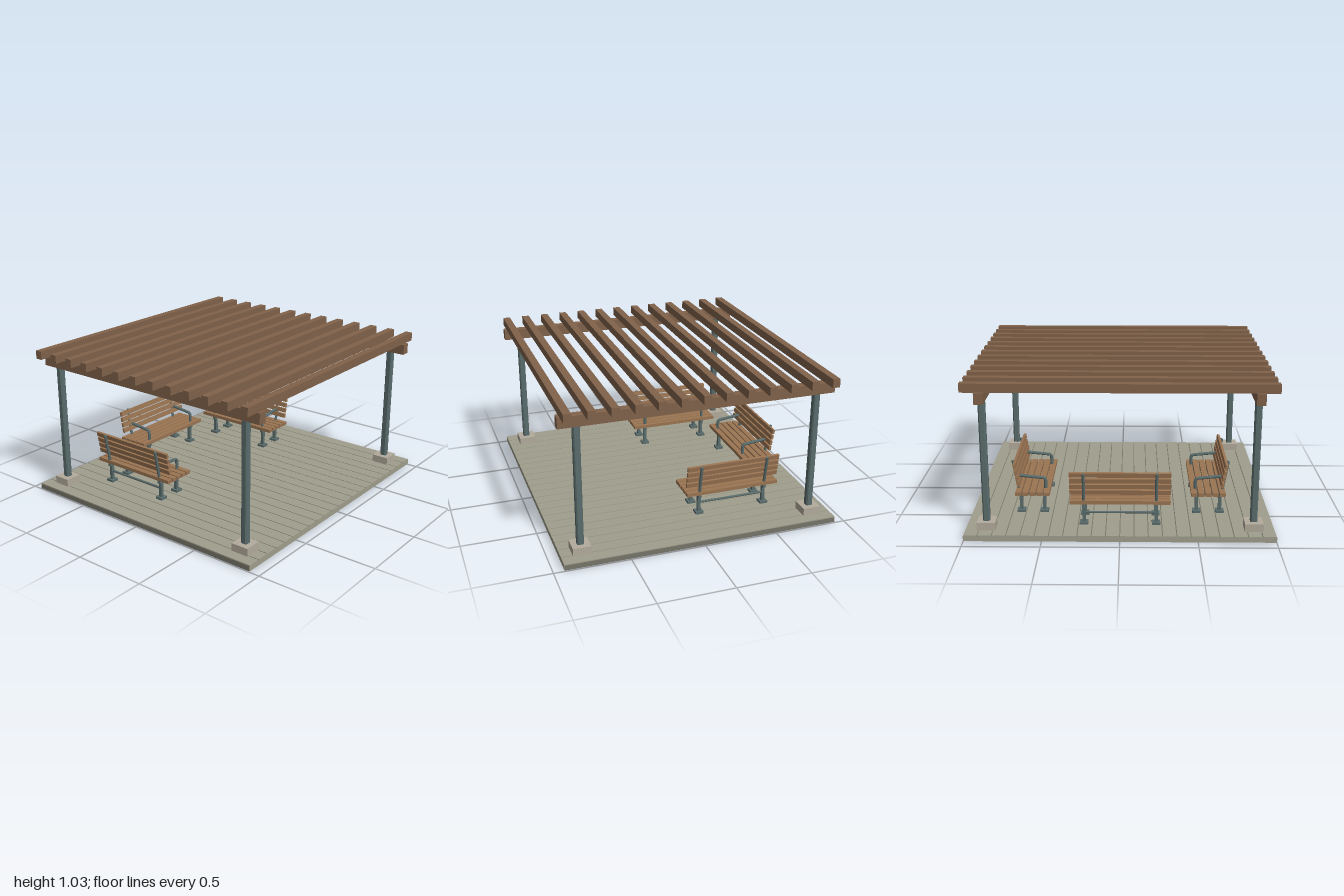
import * as THREE from 'three';

const mat = (color) => new THREE.MeshStandardMaterial({ color });
const timber = mat(0x80624a), slatWood = mat(0x9a7452), steel = mat(0x5a6c6c);
const concrete = mat(0xb2ab9c), boards = mat(0xa09e8c), deckCore = mat(0x77766a);

function add(parent, name, geometry, material, x = 0, y = 0, z = 0) {
  const mesh = new THREE.Mesh(geometry, material);
  mesh.name = name;
  mesh.position.set(x, y, z);
  parent.add(mesh);
  return mesh;
}
const box = (parent, name, material, w, h, d, x, y, z) =>
  add(parent, name, new THREE.BoxGeometry(w, h, d), material, x, y, z);

// Square steel post with chamfered corners, standing on y = 0
function postGeometry(width, height, chamfer) {
  const a = width / 2, b = a - chamfer;
  const shape = new THREE.Shape([[a, -b], [a, b], [b, a], [-b, a], [-a, b], [-a, -b], [-b, -a], [b, -a]]
    .map(([x, y]) => new THREE.Vector2(x, y)));
  return new THREE.ExtrudeGeometry(shape, { depth: height, bevelEnabled: false }).rotateX(-Math.PI / 2);
}

// Bench facing +z, centred on its seat
function createBench() {
  const bench = new THREE.Group();
  bench.name = 'bench';
  const length = 0.655;

  // Seat slats
  for (let i = 0; i < 5; i++)
    box(bench, 'seatSlat', slatWood, length, 0.024, 0.039, 0, 0.21, 0.097 - i * 0.047);

  // Leaning backrest slats
  const lean = Math.atan2(0.04, 0.23);
  const backZ = (y) => -0.09 - (y - 0.185) * 0.04 / 0.23;
  for (const y of [0.277, 0.319, 0.36, 0.402]) {
    const slat = box(bench, 'backSlat', slatWood, length, 0.031, 0.018, 0, y, backZ(y) + 0.017);
    slat.rotation.x = -lean;
  }

  // Two steel end frames
  for (const x of [-0.235, 0.235]) {
    const frame = new THREE.Group();
    frame.name = 'endFrame';
    frame.position.x = x;
    bench.add(frame);
    box(frame, 'seatRail', steel, 0.022, 0.024, 0.205, 0, 0.186, -0.003);
    for (const z of [0.075, -0.081]) {
      box(frame, 'leg', steel, 0.022, 0.12, 0.022, 0, 0.12, z);
      box(frame, 'foot', steel, 0.055, 0.016, 0.055, 0, 0.063, z);
    }
    const upright = add(frame, 'backUpright', new THREE.CylinderGeometry(0.01, 0.01, 0.236, 10), steel, 0, 0.299, backZ(0.299));
    upright.rotation.x = -lean;

    // Armrest: sloping bar with a rounded bend down to the seat
    const p = (y, z) => new THREE.Vector3(0, y, z);
    const path = new THREE.CurvePath();
    path.add(new THREE.LineCurve3(p(0.312, -0.11), p(0.294, 0.065)));
    path.add(new THREE.QuadraticBezierCurve3(p(0.294, 0.065), p(0.292, 0.085), p(0.272, 0.085)));
    path.add(new THREE.LineCurve3(p(0.272, 0.085), p(0.19, 0.085)));
    add(frame, 'armrest', new THREE.TubeGeometry(path, 40, 0.011, 8), steel);
  }

  // Stretcher between the rear legs
  add(bench, 'stretcher', new THREE.CylinderGeometry(0.008, 0.008, 0.47, 8).rotateZ(Math.PI / 2), steel, 0, 0.133, -0.081);
  return bench;
}

export function createModel() {
  const model = new THREE.Group();
  model.name = 'pergola';

  // Deck: solid core with narrow grooves between the boards
  box(model, 'deckCore', deckCore, 1.998, 0.034, 1.858, 0, 0.022, 0);
  const count = 22, pitch = 2 / count;
  for (let i = 0; i < count; i++)
    box(model, 'deckBoard', boards, pitch - 0.006, 0.038, 1.86, -1 + (i + 0.5) * pitch, 0.026, 0);
  for (const s of [-1, 1])
    box(model, 'deckEdge', boards, 2, 0.034, 0.004, 0, 0.022, s * 0.928);

  // Corner posts on concrete footings, with a long beam per side
  const post = postGeometry(0.045, 0.82, 0.008);
  for (const sx of [-1, 1]) {
    for (const sz of [-1, 1]) {
      box(model, 'footing', concrete, 0.12, 0.097, 0.12, sx * 0.863, 0.0485, sz * 0.795);
      add(model, 'post', post, steel, sx * 0.863, 0.09, sz * 0.795);
    }
    box(model, 'beam', timber, 0.058, 0.072, 1.826, sx * 0.863, 0.942, 0);
  }

  // Roof rafters
  for (let i = -6; i <= 6; i++)
    box(model, 'rafter', timber, 1.965, 0.057, 0.05, 0, 1.006, i * 0.145);

  // Benches: one at the back, one on each side facing inwards
  const back = createBench();
  back.position.set(0, 0, -0.667);
  model.add(back);
  for (const s of [-1, 1]) {
    const side = createBench();
    side.position.set(s * 0.585, 0, -0.312);
    side.rotation.y = -s * Math.PI / 2;
    model.add(side);
  }
  return model;
}
